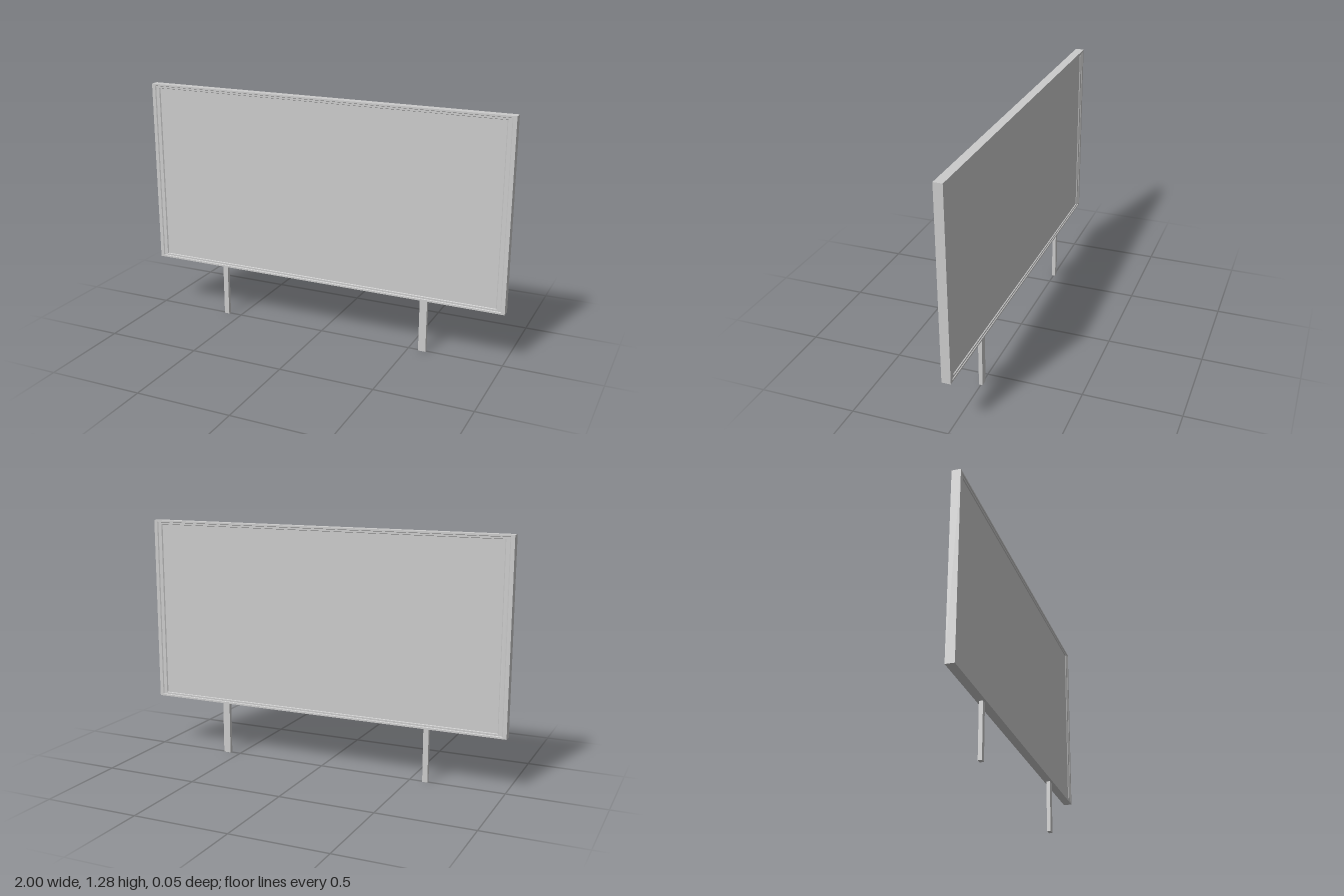
import * as THREE from 'three';

const material = new THREE.MeshStandardMaterial({ color: 0xcccccc, flatShading: true });
const WIDTH = 2, BOTTOM = 0.286, TOP = 1.28;
const CENTRE_Y = (BOTTOM + TOP) / 2;
const RIM_X = 0.047, RIM_Y = 0.023; // the frame is wider at the sides than at top and bottom

// Mitred frame: a profile of [inset fraction, z] carried round a rectangle
function frameGeometry(profile) {
  const rings = profile.map(([t, z]) => {
    const w = WIDTH / 2 - t * RIM_X, h = (TOP - BOTTOM) / 2 - t * RIM_Y;
    return [[-w, -h, z], [w, -h, z], [w, h, z], [-w, h, z]];
  });
  const positions = [];
  for (let i = 0; i < rings.length - 1; i++) {
    for (let k = 0; k < 4; k++) {
      const n = (k + 1) % 4;
      const a = rings[i][k], b = rings[i + 1][k], c = rings[i + 1][n], d = rings[i][n];
      positions.push(...a, ...b, ...c, ...a, ...c, ...d);
    }
  }
  const geometry = new THREE.BufferGeometry();
  geometry.setAttribute('position', new THREE.Float32BufferAttribute(positions, 3));
  geometry.computeVertexNormals();
  return geometry;
}

export function createModel() {
  const group = new THREE.Group();
  group.name = 'billboard';

  function add(name, geometry, x, y, z = 0) {
    const mesh = new THREE.Mesh(geometry, material);
    mesh.name = name;
    mesh.position.set(x, y, z);
    group.add(mesh);
  }

  // Stepped frame, the same on both faces
  const front = [[1, 0.014], [0.9, 0.019], [0.5, 0.019], [0.4, 0.023], [0, 0.023]];
  const back = front.map(([t, z]) => [t, -z]).reverse();
  add('frame', frameGeometry([...front, ...back]), 0, CENTRE_Y);

  // Recessed double-sided panel
  add('panel', new THREE.BoxGeometry(WIDTH - 2 * RIM_X, TOP - BOTTOM - 2 * RIM_Y, 0.028), 0, CENTRE_Y);

  // Posts: the left one is a little wider
  for (const [name, x, width] of [['rightPost', -0.585, 0.028], ['leftPost', 0.576, 0.04]]) {
    add(name, new THREE.BoxGeometry(width, BOTTOM, 0.02), x, BOTTOM / 2);
  }

  return group;
}
